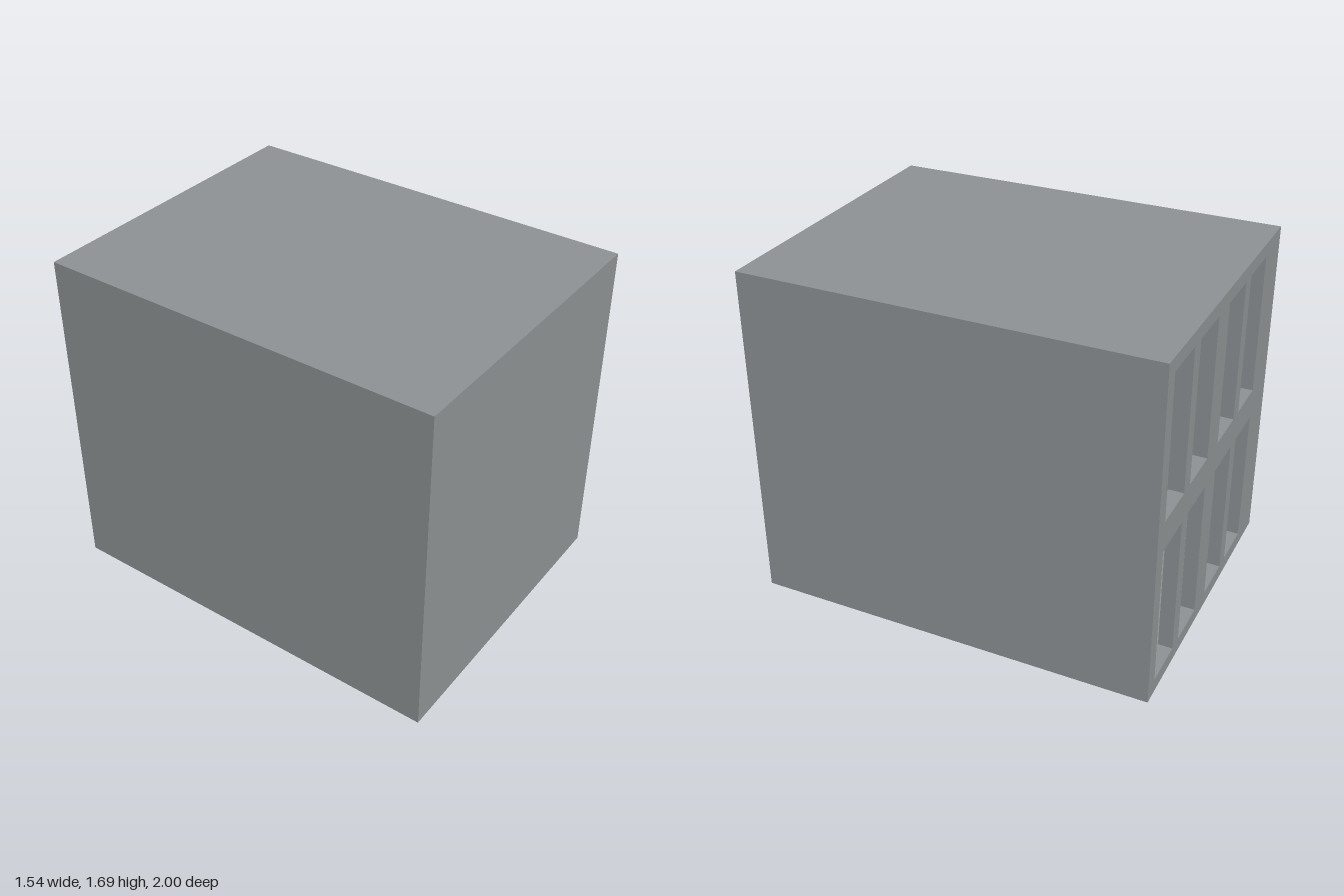
import * as THREE from 'three';

const HALF_W = 0.77, HEIGHT = 1.69, HALF_D = 1, WALL = 0.07;

// Adds the corners of a rectangle to a shape or hole path
function rect(path, x0, y0, x1, y1) {
  path.moveTo(x0, y0);
  path.lineTo(x1, y0);
  path.lineTo(x1, y1);
  path.lineTo(x0, y1);
  path.closePath();
  return path;
}

// Full-size wall outline with rectangular openings, extruded from z0 to z1
function slab(name, openings, z0, z1, material) {
  const shape = rect(new THREE.Shape(), -HALF_W, 0, HALF_W, HEIGHT);
  for (const o of openings) shape.holes.push(rect(new THREE.Path(), ...o));
  const geometry = new THREE.ExtrudeGeometry(shape, { depth: z1 - z0, bevelEnabled: false });
  geometry.translate(0, 0, z0);
  const mesh = new THREE.Mesh(geometry, material);
  mesh.name = name;
  return mesh;
}

export function createModel() {
  const group = new THREE.Group();
  group.name = 'hollowBuilding';
  const grey = new THREE.MeshStandardMaterial({ color: 0x8e9294 });
  grey.name = 'wallGrey';

  // Two rows of four tall openings, paired and set off-centre
  const windows = [];
  for (const y of [0.07, 0.92]) {
    for (const x of [-0.547, -0.236, 0.147, 0.458]) {
      const left = x === -0.236 ? -0.236 : x;
      windows.push([left, y, left + 0.236, y + 0.7]);
    }
  }

  // Back wall with openings, plain front wall
  group.add(slab('backWall', windows, -HALF_D, -HALF_D + WALL, grey));
  group.add(slab('frontWall', [], HALF_D - WALL, HALF_D, grey));

  // Floor, roof and side walls as one open tube around the hollow interior
  const interior = [-HALF_W + WALL, WALL, HALF_W - WALL, HEIGHT - WALL];
  group.add(slab('sideWallsFloorAndRoof', [interior], -HALF_D + WALL, HALF_D - WALL, grey));

  return group;
}
